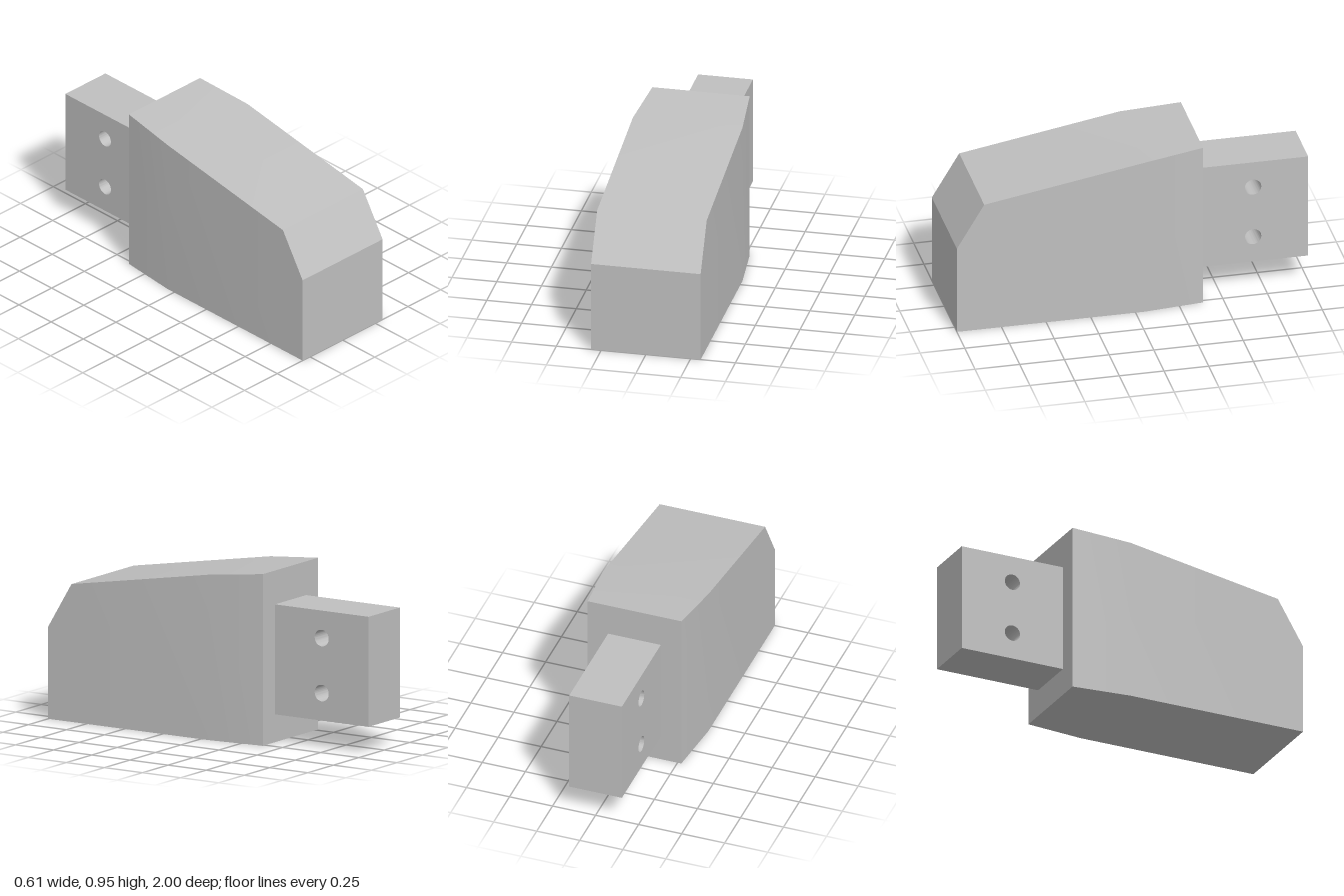
import * as THREE from 'three';
import { toCreasedNormals } from 'three/addons/utils/BufferGeometryUtils.js';

// Closed solid from rectangular cross-sections [z, halfWidth, height], back to front
function loftBox(sections) {
  const positions = [], index = [];
  const quad = (a, b, c, d) => index.push(a, b, c, a, c, d);
  for (const [z, w, h] of sections) positions.push(-w, 0, z, w, 0, z, w, h, z, -w, h, z);
  const last = (sections.length - 1) * 4;
  for (let s = 0; s < last; s += 4) {
    for (let i = 0; i < 4; i++) {
      const j = (i + 1) % 4;
      quad(s + i, s + j, s + 4 + j, s + 4 + i);
    }
  }
  quad(3, 2, 1, 0);
  quad(last, last + 1, last + 2, last + 3);
  const geometry = new THREE.BufferGeometry();
  geometry.setAttribute('position', new THREE.Float32BufferAttribute(positions, 3));
  geometry.setIndex(index);
  return toCreasedNormals(geometry, 0.3);
}

export function createModel() {
  const group = new THREE.Group();
  const grey = new THREE.MeshStandardMaterial({ color: 0xbfbfbf });
  grey.name = 'light grey';

  // Main body: sloped nose, rising top, tapered rear
  const body = new THREE.Mesh(loftBox([
    [-0.385, 0.272, 0.955],
    [-0.05, 0.306, 0.92],
    [0.847, 0.306, 0.767],
    [1, 0.306, 0.513],
  ]), grey);
  body.name = 'body';
  group.add(body);

  // Rear mounting tang, profile drawn in (z, y), with two through holes
  const width = 0.306;
  const profile = new THREE.Shape([
    [-1, 0.155], [-0.385, 0.155], [-0.385, 0.767], [-1, 0.767],
  ].map(([z, y]) => new THREE.Vector2(z, y)));
  for (const y of [0.308, 0.614]) {
    profile.holes.push(new THREE.Path().absarc(-0.692, y, 0.046, 0, Math.PI * 2, true));
  }
  const tangGeometry = new THREE.ExtrudeGeometry(profile, {
    depth: width, bevelEnabled: false, curveSegments: 32,
  });
  tangGeometry.rotateY(-Math.PI / 2).translate(width / 2, 0, 0);
  const tang = new THREE.Mesh(toCreasedNormals(tangGeometry, 0.6), grey);
  tang.name = 'mountingTang';
  group.add(tang);

  return group;
}
